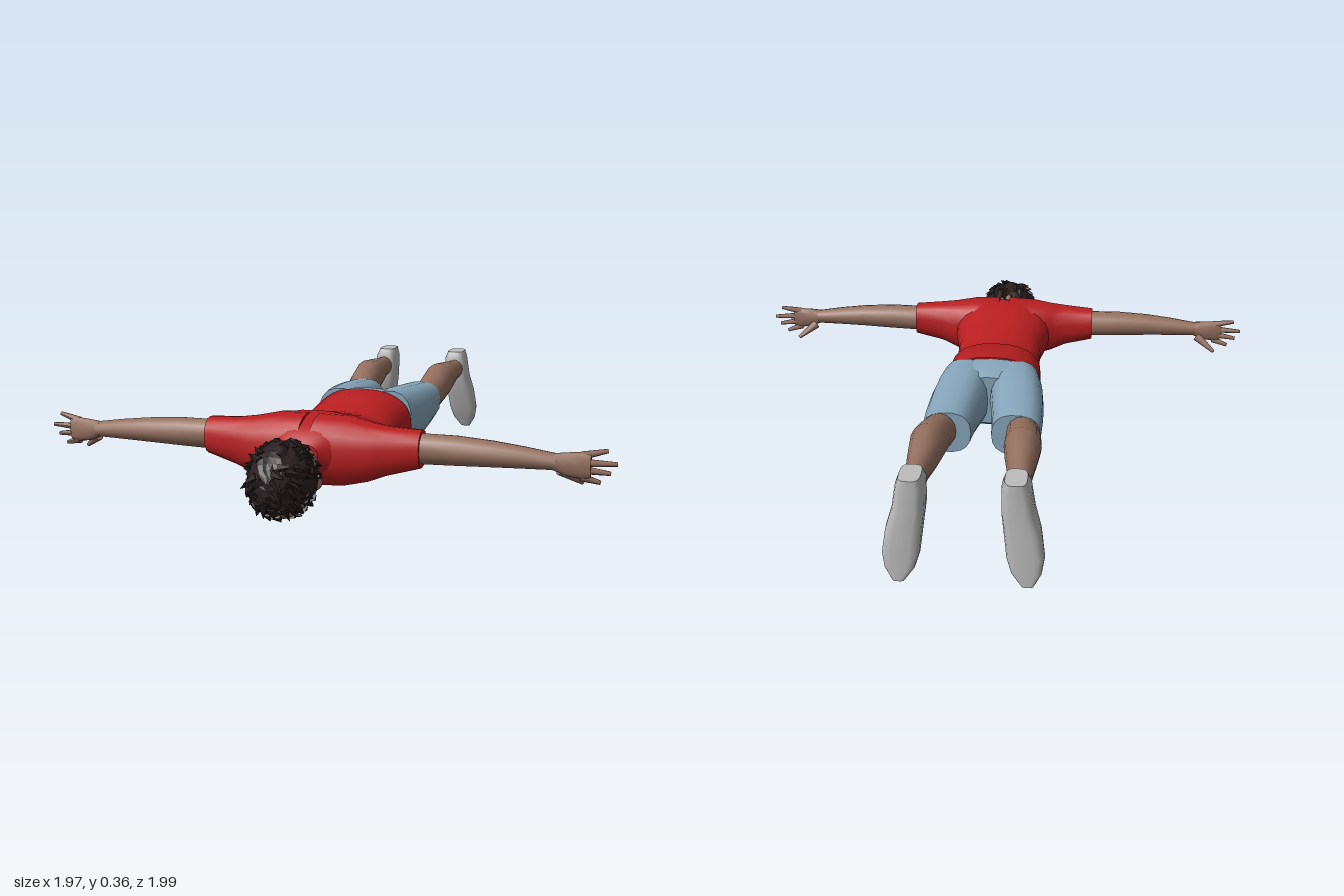
import * as THREE from 'three';

const mat = (name, color, extra = {}) => {
  const m = new THREE.MeshStandardMaterial({ color, ...extra });
  m.name = name;
  return m;
};

// Lofts rounded cross-sections along an axis. Each row: [t, lo, hi, lo, hi] in the
// two cyclically following axes (x: y,z   y: z,x   z: x,y). e < 1 makes sections boxier.
function loft(axis, rows, n = 18, e = 0.85) {
  const k = 'xyz'.indexOf(axis), pos = [], idx = [];
  const pow = (v) => Math.sign(v) * Math.abs(v) ** e;
  const put = (t, p, q) => {
    const v = [0, 0, 0];
    v[k] = t; v[(k + 1) % 3] = p; v[(k + 2) % 3] = q;
    pos.push(...v);
  };
  const ring = ([t, a, b, c, d]) => {
    for (let i = 0; i < n; i++) {
      const w = (i / n) * Math.PI * 2;
      put(t, (a + b) / 2 + (b - a) / 2 * pow(Math.cos(w)), (c + d) / 2 + (d - c) / 2 * pow(Math.sin(w)));
    }
  };
  rows.forEach(ring);
  for (let r = 0; r < rows.length - 1; r++) for (let i = 0; i < n; i++) {
    const a = r * n + i, b = r * n + (i + 1) % n;
    idx.push(a, b, b + n, a, b + n, a + n);
  }
  // end caps with their own vertices, so that the rims stay sharp
  [rows[0], rows[rows.length - 1]].forEach((row, end) => {
    const s = pos.length / 3;
    ring(row);
    put(row[0], (row[1] + row[2]) / 2, (row[3] + row[4]) / 2);
    for (let i = 0; i < n; i++) {
      const a = s + i, b = s + (i + 1) % n;
      idx.push(s + n, ...(end ? [a, b] : [b, a]));
    }
  });
  const g = new THREE.BufferGeometry();
  g.setAttribute('position', new THREE.Float32BufferAttribute(pos, 3));
  g.setIndex(idx);
  g.computeVertexNormals();
  return g;
}

// Tapered rod between two points
function rod(a, b, ra, rb, sides = 7) {
  const A = new THREE.Vector3(...a), B = new THREE.Vector3(...b), d = B.clone().sub(A);
  const g = new THREE.CylinderGeometry(rb, ra, d.length(), sides);
  g.applyQuaternion(new THREE.Quaternion().setFromUnitVectors(new THREE.Vector3(0, 1, 0), d.normalize()));
  return g.translate(...A.add(B).multiplyScalar(0.5).toArray());
}

const ball = (x, y, z, rx, ry, rz) => new THREE.SphereGeometry(1, 12, 8).scale(rx, ry, rz).translate(x, y, z);

function mirrored(g) {
  const m = g.clone().scale(-1, 1, 1), ix = m.index.array;
  for (let i = 0; i < ix.length; i += 3) [ix[i], ix[i + 1]] = [ix[i + 1], ix[i]];
  m.computeVertexNormals();
  return m;
}

const TORSO = [
  [-0.01, -0.188, 0.188, 0.083, 0.345], [0.06, -0.18, 0.18, 0.083, 0.345],
  [0.16, -0.176, 0.176, 0.09, 0.332], [0.2, -0.17, 0.17, 0.094, 0.302],
  [0.28, -0.166, 0.166, 0.098, 0.315], [0.36, -0.166, 0.166, 0.103, 0.332],
  [0.44, -0.185, 0.185, 0.11, 0.35], [0.52, -0.2, 0.2, 0.115, 0.37],
  [0.58, -0.19, 0.19, 0.135, 0.36], [0.64, -0.14, 0.14, 0.165, 0.34],
  [0.675, -0.085, 0.085, 0.195, 0.315], [0.695, -0.06, 0.06, 0.215, 0.295],
];

// Height of the chest surface below a point of the torso
function chestY(x, z, e = 0.85) {
  const i = TORSO.findIndex((r) => r[0] > z), A = TORSO[i - 1], B = TORSO[i];
  const f = (z - A[0]) / (B[0] - A[0]);
  const [, , w, lo, hi] = A.map((v, j) => v + (B[j] - v) * f);
  const c = Math.min(1, (Math.abs(x) / w) ** (1 / e));
  return (lo + hi) / 2 - (hi - lo) / 2 * Math.sqrt(1 - c * c) ** e;
}

export function createModel() {
  const model = new THREE.Group();
  model.name = 'lyingFigure';
  const red = mat('shirtRed', 0xb81e20), blue = mat('shortsBlue', 0x86a5ba);
  const skin = mat('skin', 0x94705f), shoe = mat('shoeGrey', 0xbcbcbc);
  const hair = mat('hairBrown', 0x2b1f1f, { flatShading: true });
  const yellow = mat('printYellow', 0xb5991a, { side: THREE.DoubleSide });
  const white = mat('eyeWhite', 0xd0c8c4), lip = mat('lip', 0x7a5048);

  const add = (name, g, m) => {
    const mesh = new THREE.Mesh(g, m);
    mesh.name = name;
    model.add(mesh);
  };
  const pair = (name, g, m) => {
    add(name + 'Left', g, m);
    add(name + 'Right', mirrored(g), m);
  };

  // Shirt
  add('shirtBody', loft('z', TORSO, 28), red);
  pair('sleeve', loft('x', [
    [0.02, 0.13, 0.368, 0.44, 0.68], [0.12, 0.135, 0.366, 0.45, 0.665], [0.2, 0.155, 0.35, 0.485, 0.65],
    [0.26, 0.18, 0.342, 0.505, 0.64], [0.37, 0.21, 0.335, 0.505, 0.62]]), red);

  // Yellow chest print: irregular patches laid on the cloth
  [[0, 0.32, 0.045], [0.055, 0.35, 0.032], [-0.05, 0.36, 0.03], [0.05, 0.28, 0.03], [-0.055, 0.29, 0.028], [0.01, 0.39, 0.022]]
    .forEach(([cx, cz, r], k) => {
      const g = new THREE.RingGeometry(0.001, r, 16, 3), p = g.attributes.position;
      for (let i = 0; i < p.count; i++) {
        const w = Math.atan2(p.getY(i), p.getX(i)), s = 1 + 0.2 * Math.sin(5 * w + k);
        const x = cx + p.getX(i) * s, z = cz + p.getY(i) * s;
        p.setXYZ(i, x, chestY(x, z) - 0.004, z);
      }
      g.computeVertexNormals();
      add('chestPrint' + k, g, yellow);
    });

  // Arms, palms and fingers
  pair('arm', loft('x', [
    [0.35, 0.222, 0.325, 0.515, 0.61], [0.48, 0.227, 0.325, 0.513, 0.617], [0.6, 0.232, 0.317, 0.52, 0.615],
    [0.7, 0.235, 0.305, 0.527, 0.607], [0.8, 0.237, 0.29, 0.535, 0.595]], 14, 1), skin);
  pair('palm', loft('x', [
    [0.79, 0.237, 0.29, 0.54, 0.594], [0.83, 0.22, 0.296, 0.54, 0.59],
    [0.88, 0.213, 0.3, 0.543, 0.583], [0.905, 0.218, 0.296, 0.547, 0.577]], 12), skin);
  [[0.22, 0.935, 0.202], [0.243, 0.965, 0.233], [0.265, 0.985, 0.264], [0.287, 0.955, 0.305]]
    .forEach(([y, tx, ty], i) =>
      pair('finger' + i, rod([0.875, y, 0.562], [tx, ty, 0.548], 0.014, 0.007), skin));
  pair('thumb', rod([0.81, 0.235, 0.55], [0.878, 0.187, 0.507], 0.019, 0.007), skin);

  // Shorts
  add('shortsSeat', loft('z', [
    [-0.13, -0.14, 0.14, 0.13, 0.315], [-0.08, -0.192, 0.192, 0.1, 0.337], [0.01, -0.184, 0.184, 0.09, 0.34]], 24), blue);
  pair('shortsLeg', loft('z', [
    [-0.42, 0.035, 0.205, 0.155, 0.307], [-0.32, 0.028, 0.208, 0.138, 0.318], [-0.2, 0.014, 0.206, 0.117, 0.33],
    [-0.1, 0, 0.199, 0.1, 0.338], [-0.02, 0.01, 0.186, 0.095, 0.34]], 18, 0.8), blue);

  // Legs
  pair('leg', loft('z', [
    [-0.9, 0.13, 0.2, 0.245, 0.325], [-0.8, 0.122, 0.2, 0.237, 0.333], [-0.7, 0.105, 0.21, 0.222, 0.345],
    [-0.6, 0.093, 0.218, 0.207, 0.355], [-0.5, 0.09, 0.212, 0.19, 0.328], [-0.4, 0.085, 0.2, 0.165, 0.298]], 16, 1), skin);

  // Shoes with the soles facing back and the toes down
  pair('shoe', loft('y', [
    [0.008, -1, -0.97, 0.18, 0.218], [0.05, -1, -0.948, 0.148, 0.242], [0.1, -1, -0.925, 0.132, 0.25],
    [0.18, -1, -0.895, 0.123, 0.238], [0.25, -1, -0.872, 0.115, 0.217], [0.33, -1, -0.87, 0.115, 0.204],
    [0.36, -1, -0.89, 0.125, 0.193]], 20, 0.6), shoe);

  // Neck, head and face (looking down)
  add('neck', loft('z', [[0.62, -0.065, 0.065, 0.18, 0.3], [0.76, -0.055, 0.055, 0.15, 0.285]], 14, 1), skin);
  add('head', loft('z', [
    [0.695, -0.03, 0.03, 0.115, 0.19], [0.715, -0.058, 0.058, 0.1, 0.26], [0.76, -0.083, 0.083, 0.092, 0.31],
    [0.83, -0.098, 0.098, 0.098, 0.325], [0.9, -0.097, 0.097, 0.105, 0.32], [0.95, -0.07, 0.07, 0.14, 0.29],
    [0.97, -0.03, 0.03, 0.19, 0.25]], 20, 0.95), skin);
  add('nose', ball(0, 0.091, 0.785, 0.014, 0.017, 0.022), skin);
  add('mouth', ball(0, 0.095, 0.738, 0.026, 0.004, 0.006), lip);
  pair('ear', ball(0.096, 0.2, 0.8, 0.012, 0.02, 0.03), skin);
  pair('eye', ball(0.037, 0.104, 0.82, 0.016, 0.004, 0.008), white);
  pair('pupil', ball(0.037, 0.101, 0.82, 0.006, 0.003, 0.006), hair);
  pair('eyebrow', ball(0.039, 0.105, 0.845, 0.022, 0.005, 0.005), hair);

  // Hair: a rough cap tucked inside the head where the face is, plus swept tufts
  let seed = 7;
  const rnd = () => (seed = (seed * 16807) % 2147483647) / 2147483647;
  const C = new THREE.Vector3(0, 0.22, 0.85), R = new THREE.Vector3(0.107, 0.118, 0.137);
  const hairy = (p) => p.y > 0.22 - Math.max(0, p.z - 0.78);
  const cap = new THREE.SphereGeometry(1, 26, 18).rotateX(Math.PI / 2), cp = cap.attributes.position;
  const v = new THREE.Vector3();
  for (let i = 0; i < cp.count; i++) {
    v.fromBufferAttribute(cp, i);
    const rough = 1 + 0.025 * Math.sin(17 * v.x + 9 * v.y) * Math.cos(13 * v.y + 11 * v.z);
    v.multiply(R).multiplyScalar(rough);
    if (!hairy(v.clone().add(C))) v.multiplyScalar(0.72);
    v.add(C);
    cp.setXYZ(i, v.x, v.y, v.z);
  }
  cap.computeVertexNormals();
  add('hairCap', cap, hair);
  const crown = new THREE.Vector3(0, 0.5, 0.87);
  for (let i = 0; i < 130; i++) {
    const h = rnd() * 2 - 1, w = rnd() * Math.PI * 2, s = Math.sqrt(1 - h * h);
    const d = new THREE.Vector3(s * Math.cos(w), s * Math.sin(w), h);
    const p = d.clone().multiply(R).add(C);
    if (!hairy(p)) continue;
    const flow = d.clone().sub(crown).projectOnPlane(d).normalize().addScaledVector(d, 0.12);
    const tip = p.clone().addScaledVector(flow, 0.035 + 0.02 * rnd());
    tip.z = Math.min(tip.z, 0.998);
    add('hairTuft' + i, rod(p.addScaledVector(d, -0.006).toArray(), tip.toArray(), 0.017, 0.001, 5), hair);
  }
  return model;
}
